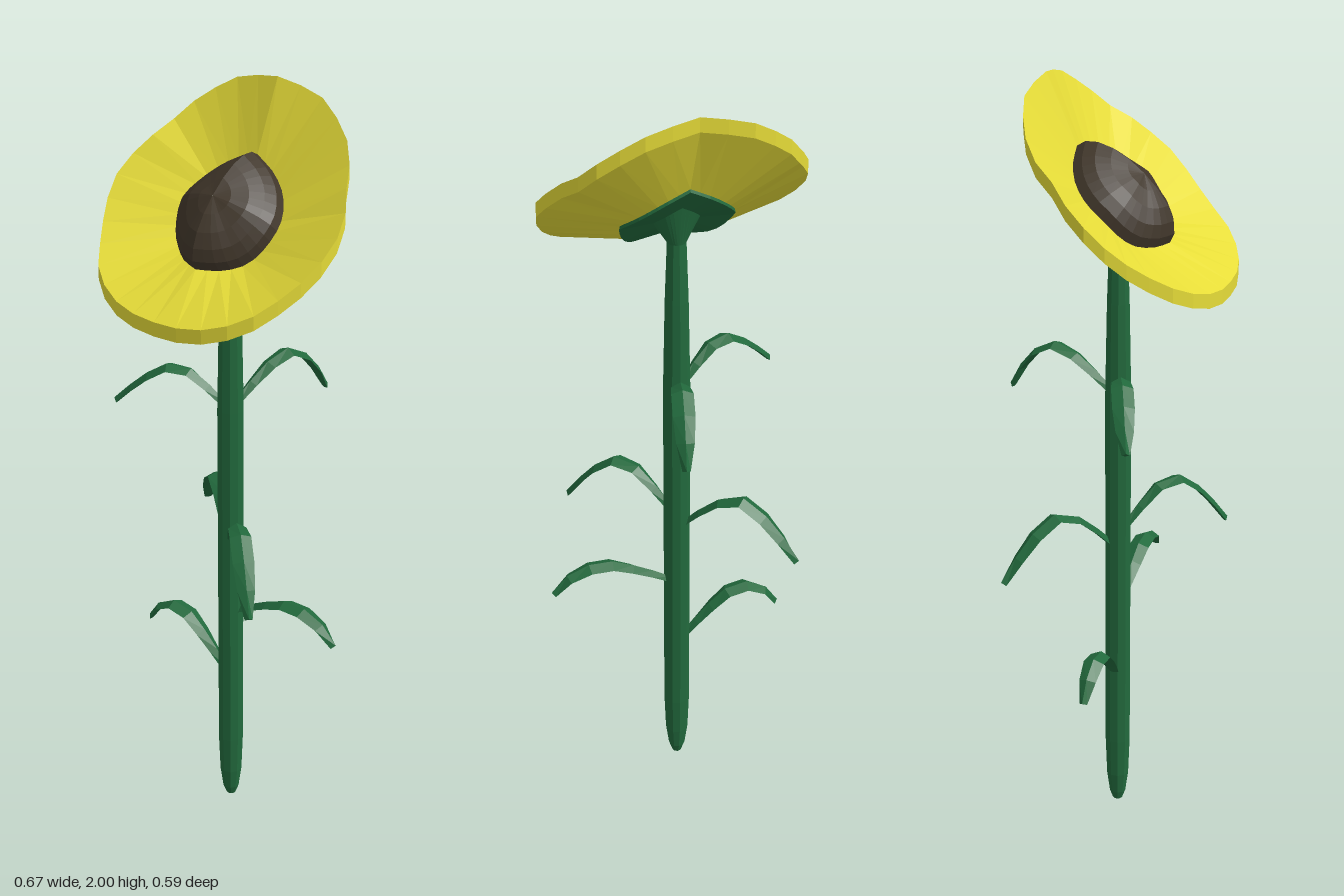
import * as THREE from 'three';

const material = (name, color) => {
  const m = new THREE.MeshStandardMaterial({ color, flatShading: true });
  m.name = name;
  return m;
};
const V = (x, y, z) => new THREE.Vector3(x, y, z);

// Skin a surface over successive rings of points; optionally cap both ends.
function loft(rings, capped = false) {
  const n = rings[0].length, index = [];
  const pts = rings.flat();
  for (let i = 0; i < rings.length - 1; i++) {
    for (let j = 0; j < n; j++) {
      const k = (j + 1) % n;
      const a = i * n + j, b = i * n + k, c = b + n, d = a + n;
      index.push(a, d, c, a, c, b);
    }
  }
  if (capped) {
    const e = (rings.length - 1) * n;
    for (let j = 1; j < n - 1; j++) {
      index.push(0, j, j + 1);
      index.push(e, e + j + 1, e + j);
    }
  }
  const g = new THREE.BufferGeometry().setFromPoints(pts);
  g.setIndex(index);
  g.computeVertexNormals();
  return g;
}

// Full 32-point outline from the points of one half, running back to front.
function outline(half) {
  const curve = new THREE.CatmullRomCurve3(half.map(p => V(...p)));
  const side = curve.getSpacedPoints(16);
  const other = side.slice(1, -1).reverse().map(p => V(-p.x, p.y, p.z));
  return [...side, ...other];
}

export function createModel() {
  const model = new THREE.Group();
  model.name = 'flower';
  const green = material('leaf green', 0x226a3d);
  const yellow = material('petal yellow', 0xe6dc38);
  const brown = material('seed brown', 0x40362a);
  const add = (name, geometry, mat) => {
    const mesh = new THREE.Mesh(geometry, mat);
    mesh.name = name;
    model.add(mesh);
    return mesh;
  };
  const stemZ = 0.018;

  // Stem with a rounded foot and a slimmer neck
  const profile = [[0, 0], [0.013, 0.004], [0.022, 0.03], [0.03, 0.09], [0.034, 0.2],
    [0.034, 1.2], [0.029, 1.45], [0.023, 1.62], [0.022, 1.69]];
  const stem = add('stem', new THREE.LatheGeometry(
    profile.map(([r, y]) => new THREE.Vector2(r, y)), 10), green);
  stem.position.z = stemZ;

  // Outlines of the petal rim and of the seed head
  const rim = outline([[0, 2, -0.16], [0.115, 1.977, -0.168], [0.172, 1.945, -0.153], [0.225, 1.905, -0.128],
    [0.262, 1.86, -0.09], [0.29, 1.825, -0.04], [0.32, 1.78, 0.005], [0.33, 1.74, 0.05],
    [0.317, 1.69, 0.1], [0.285, 1.64, 0.155], [0.225, 1.583, 0.235], [0.175, 1.56, 0.265],
    [0.115, 1.543, 0.287], [0.055, 1.536, 0.297], [0, 1.534, 0.298]]);
  const seat = outline([[0, 1.83, -0.085], [0.055, 1.8, -0.076], [0.1, 1.765, -0.053], [0.13, 1.73, -0.015],
    [0.14, 1.705, 0.02], [0.125, 1.66, 0.06], [0.1, 1.632, 0.09], [0.055, 1.618, 0.125], [0, 1.615, 0.147]]);
  const lower = (ring, dy, dz = 0) => ring.map(p => V(p.x, p.y - dy, p.z + dz));

  // Thick dished petal collar: underside, edge, upper side
  add('petals', loft([lower(seat, 0.035, -0.005), lower(rim, 0.036), rim, seat]), yellow);

  // Domed seed head
  const centre = V(0, 1.72, 0.03), lift = V(0, 0.058, 0.052);
  const dome = [0, 0.2, 0.4, 0.6, 0.8, 0.999].map(t => {
    const a = t * Math.PI / 2;
    return seat.map(p => centre.clone().lerp(p, Math.cos(a)).addScaledVector(lift, Math.sin(a)));
  });
  add('seedHead', loft(dome), brown);

  // Green cup joining the stem to the back of the petals
  const under = lower(seat, 0.042, -0.008);
  const hub = V(0, 1.67, stemZ);
  const neck = under.map((p, i) => {
    const a = i / under.length * Math.PI * 2;
    return V(0.024 * Math.sin(a), 1.61, stemZ - 0.024 * Math.cos(a));
  });
  const flare = under.map(p => hub.clone().lerp(p, 0.4));
  add('calyx', loft([neck, flare, under, lower(seat, 0.025)]), green);

  // Arching folded leaves: tip x and z offset, heights of base, peak and tip
  const halfWidths = [0.01, 0.017, 0.023, 0.027, 0.027, 0.022, 0.01];
  const leaf = (dx, dz, base, peak, tip, peakAt = 0.52) => {
    const reach = Math.hypot(dx, dz);
    const path = new THREE.CatmullRomCurve3([
      V(0.015, base, 0), V(reach * peakAt * 0.55, base + (peak - base) * 0.62, 0),
      V(reach * peakAt, peak, 0), V(reach * (peakAt + 0.26), peak - (peak - tip) * 0.32, 0), V(reach, tip, 0)]);
    const rings = halfWidths.map((w, i) => {
      const t = i / (halfWidths.length - 1);
      const p = path.getPointAt(t), d = path.getTangentAt(t);
      const at = (up, z) => V(p.x - d.y * up, p.y + d.x * up, z);
      return [at(0.007, 0), at(-0.005, -w), at(-0.007, 0), at(-0.005, w)];
    });
    const mesh = add('leaf', loft(rings, true), green);
    mesh.position.z = stemZ;
    mesh.rotation.y = Math.atan2(-dz, dx);
  };
  leaf(0.335, 0, 0.61, 0.7, 0.63, 0.6);
  leaf(-0.28, 0, 0.41, 0.55, 0.47, 0.6);
  leaf(0.235, 0.222, 0.83, 0.945, 0.785, 0.47);
  leaf(-0.255, -0.218, 0.79, 0.915, 0.765, 0.5);
  leaf(-0.28, 0.112, 1.21, 1.3, 1.18, 0.45);
  leaf(0.068, -0.308, 1.21, 1.305, 1.165, 0.55);

  return model;
}
